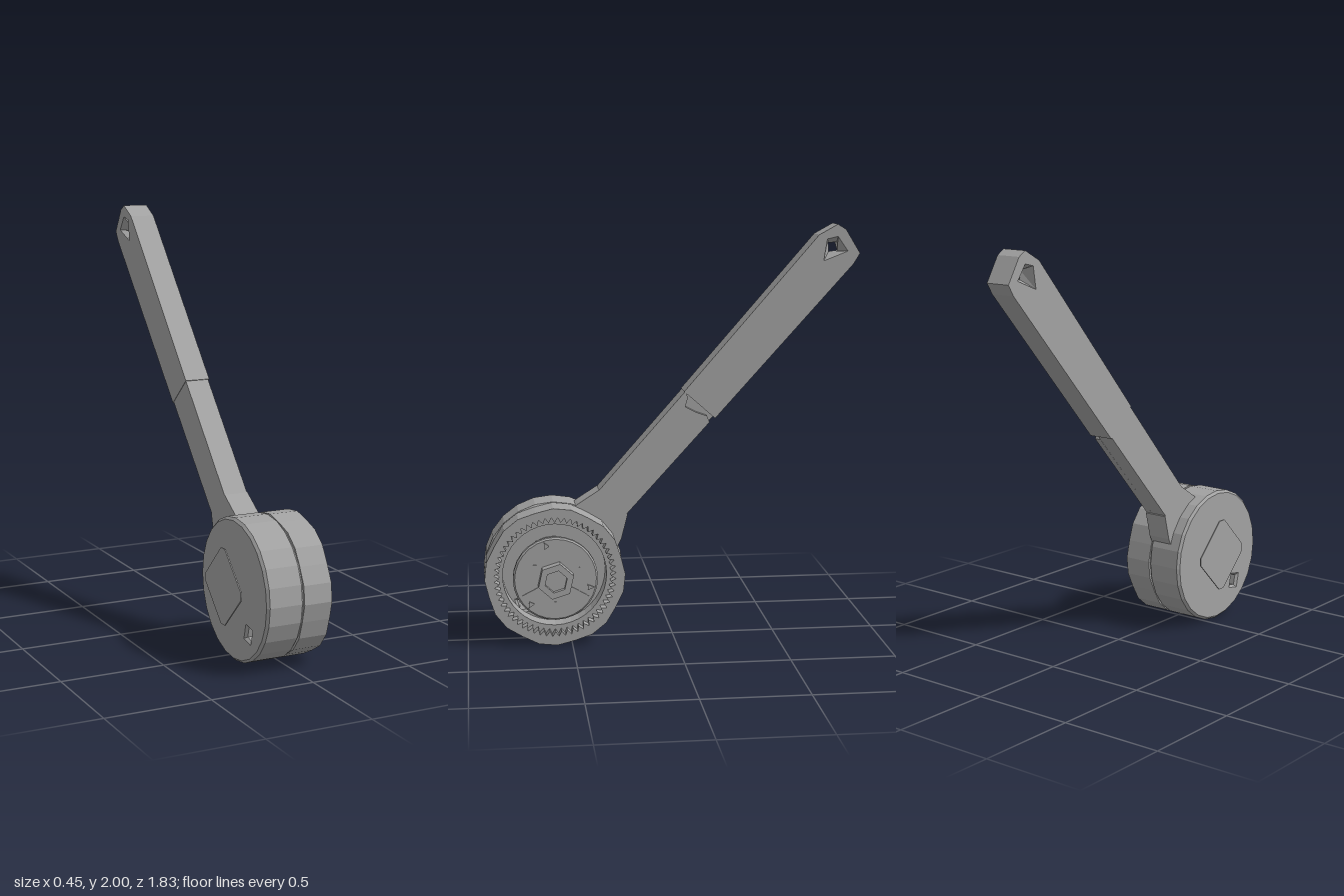
import * as THREE from 'three';

// Profiles are drawn in the side plane (u = -z, v = y) and extruded along +x.
const CU = -0.58, CV = 0.335;
const DU = 0.661, DV = 0.75; // handle direction
const along = (a, b) => new THREE.Vector2(CU + a * DU - b * DV, CV + a * DV + b * DU);

const polar = (n, radius, turn = 0) => Array.from({ length: n }, (_, i) => {
  const t = turn + (i / n) * Math.PI * 2;
  const r = typeof radius === 'function' ? radius(i) : radius;
  return new THREE.Vector2(CU + r * Math.cos(t), CV + r * Math.sin(t));
});

export function createModel() {
  const model = new THREE.Group();
  const steel = new THREE.MeshStandardMaterial({ color: 0xa2a2a2, flatShading: true, side: THREE.DoubleSide });
  steel.name = 'steel grey';

  function add(name, geometry, parent = model) {
    const mesh = new THREE.Mesh(geometry, steel);
    mesh.name = name;
    parent.add(mesh);
    return mesh;
  }

  // Extrude an outline between two x positions, with optional holes and bevel
  function slab(name, points, x0, x1, holes = [], bevel = 0) {
    const shape = new THREE.Shape(points);
    holes.forEach((h) => shape.holes.push(new THREE.Path(h)));
    const g = new THREE.ExtrudeGeometry(shape, {
      depth: x1 - x0 - 2 * bevel, bevelEnabled: bevel > 0, bevelSize: bevel,
      bevelThickness: bevel, bevelOffset: -bevel, bevelSegments: 1,
    });
    g.translate(0, 0, x0 + bevel);
    g.rotateY(Math.PI / 2);
    return add(name, g);
  }

  // Head: solid back housing with a small through hole
  const port = [[0.035, 0], [0, 0.03], [-0.035, 0], [0, -0.03]]
    .map(([u, v]) => new THREE.Vector2(-0.73 + u * 0.8 + v * 0.5, 0.165 + v - u * 0.6));
  slab('headHousing', polar(24, 0.337), -0.185, 0, [port], 0.012);

  // Toothed ring around an open cavity
  const teeth = 60;
  slab('toothedRing', polar(24, (i) => 0.337 - (i % 3 === 1 ? 0.008 : 0), 0.02), 0, 0.14,
    [polar(teeth * 2, (i) => (i % 2 ? 0.293 : 0.268))]);
  slab('innerLedge', polar(40, 0.294), 0, 0.09, [polar(40, 0.25)]);

  // Drive disc, its shaft and the hollow hex boss
  slab('driveShaft', polar(24, 0.17), 0, 0.14);
  slab('driveDisc', polar(28, 0.203), 0.135, 0.172, [], 0.008);
  slab('hexBoss', polar(6, 0.088, 0.3), 0.17, 0.224, [polar(6, 0.055, 0.3)]);
  slab('hexBossFloor', polar(6, 0.056, 0.3), 0.17, 0.2);

  // Raised ribs and pegs on the disc
  for (let i = 0; i < 3; i++) {
    const t = -0.55 + (i * Math.PI * 2) / 3;
    const p = (r, d) => new THREE.Vector2(CU + r * Math.cos(t + d), CV + r * Math.sin(t + d));
    slab('discRib' + i, [p(0.08, -0.08), p(0.18, -0.05), p(0.18, 0.05), p(0.09, 0.08)], 0.17, 0.177);
    slab('discPeg' + i, [p(0.165, 0.2), p(0.19, 0.32), p(0.155, 0.36)], 0.17, 0.18);
    slab('discStud' + i, [p(0.11, 0.9), p(0.13, 1.0), p(0.11, 1.1)], 0.17, 0.178);
  }

  // Thin diamond cover plate standing off the back
  slab('coverPlate', [[0.18, 0.02], [0.02, 0.18], [-0.02, 0.18], [-0.18, 0.02], [-0.18, -0.02],
    [-0.02, -0.18], [0.02, -0.18], [0.18, -0.02]]
    .map(([u, v]) => new THREE.Vector2(-0.557 + u, 0.35 + v)), -0.228, -0.222);

  // Flared neck and lower handle; the right layer carries a notch at the step
  const neck = [along(0.25, 0.14), along(0.25, -0.17), along(0.327, -0.152), along(0.44, -0.095)];
  slab('neck', [...neck, along(0.44, 0.092), along(0.323, 0.125)], -0.12, 0);
  slab('lowerHandle', [along(0.44, -0.09), along(1.08, -0.1), along(1.08, 0.09), along(0.44, 0.09)], -0.12, -0.035);
  slab('lowerHandleFace', [along(0.44, -0.09), along(1.04, -0.1), along(1.055, -0.07), along(1.035, -0.02),
    along(1.02, 0.04), along(1.06, 0.06), along(1.08, 0.09), along(0.44, 0.09)], -0.035, -0.002);

  // Upper handle with a hanging hole
  const rim = [[1.985, 0], [2.075, 0.057], [2.118, 0.026], [2.098, -0.058]];
  const throat = [[2.04, 0], [2.07, 0.03], [2.1, 0], [2.07, -0.03]];
  slab('upperHandle', [along(1.072, -0.107), along(2.07, -0.12), along(2.129, -0.11), along(2.169, 0.019),
    along(2.161, 0.065), along(2.064, 0.1), along(1.072, 0.094)], -0.122, 0.003,
  [rim.map(([a, b]) => along(a, b))]);

  // Funnel walls narrowing from each side of the hole to its throat
  const positions = [];
  for (const x of [0.003, -0.122]) {
    for (let i = 0; i < 4; i++) {
      const j = (i + 1) % 4;
      const at = (list, k, px) => { const p = along(...list[k]); return [px, p.y, -p.x]; };
      const a = at(rim, i, x), b = at(rim, j, x), c = at(throat, j, -0.06), d = at(throat, i, -0.06);
      positions.push(...a, ...b, ...c, ...a, ...c, ...d);
    }
  }
  const funnel = new THREE.BufferGeometry();
  funnel.setAttribute('position', new THREE.Float32BufferAttribute(positions, 3));
  funnel.computeVertexNormals();
  add('hangingHole', funnel);

  return model;
}
